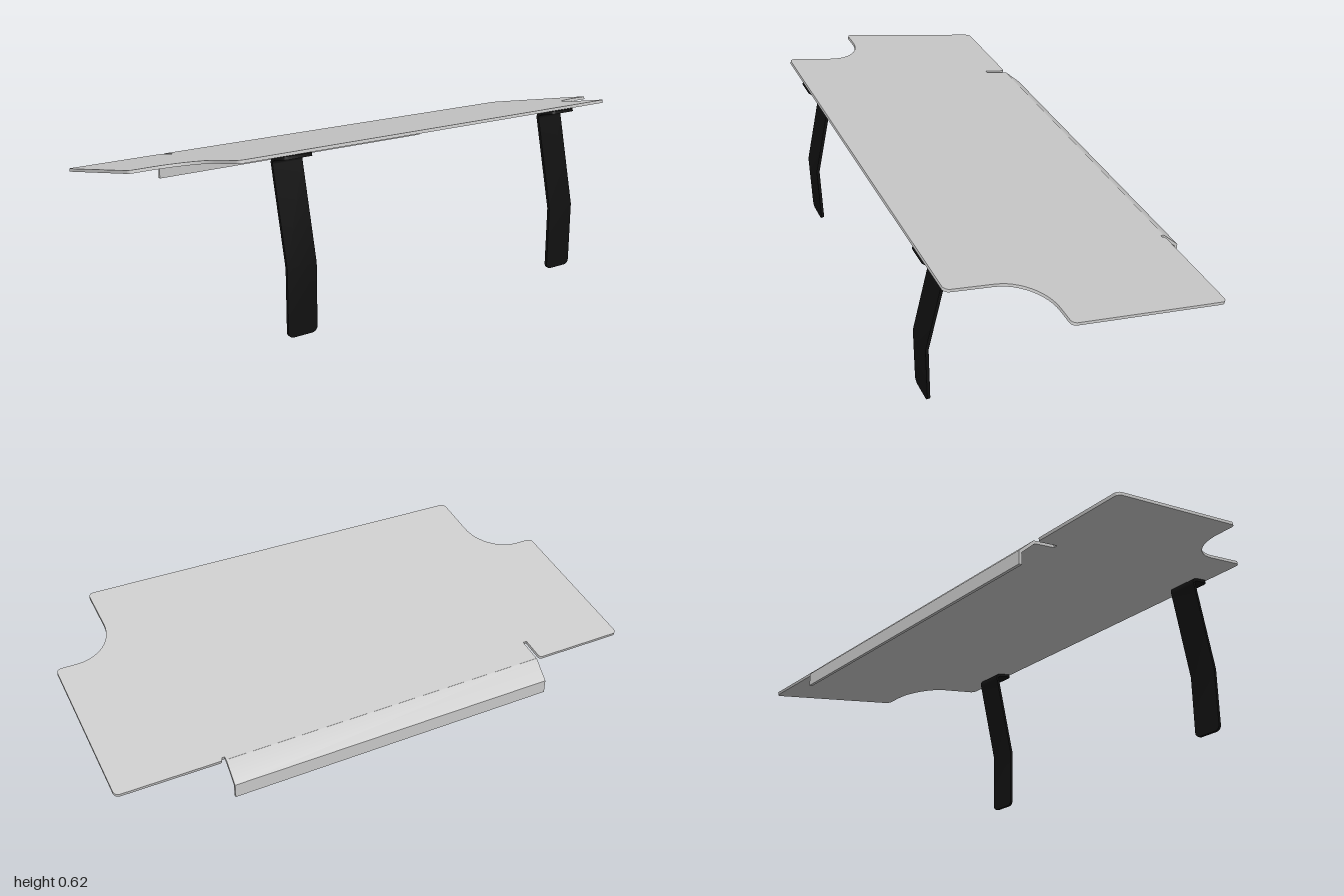
import * as THREE from 'three';
import { toCreasedNormals } from 'three/addons/utils/BufferGeometryUtils.js';

const T = 0.011;      // sheet thickness
const SLOPE = 0.2215; // rise of the plate towards the front
const topY = z => 0.622 + SLOPE * (z - 0.475);

// Closed outline from [x, y, cornerRadius] points, with rounded corners
function roundedShape(pts) {
  const shape = new THREE.Shape();
  pts.forEach(([x, y, r], i) => {
    const p = new THREE.Vector2(x, y);
    const near = (j, d) => {
      const q = pts[(j + pts.length) % pts.length];
      return new THREE.Vector2(q[0], q[1]).sub(p).normalize().multiplyScalar(d).add(p);
    };
    const a = near(i - 1, r), b = near(i + 1, r);
    const c1 = near(i - 1, r * 0.45), c2 = near(i + 1, r * 0.45);
    if (i === 0) shape.moveTo(a.x, a.y); else shape.lineTo(a.x, a.y);
    if (r > 0) shape.bezierCurveTo(c1.x, c1.y, c2.x, c2.y, b.x, b.y);
  });
  shape.closePath();
  return shape;
}

// Bent sheet strip: follows a [z, y] path, spans x0..x1, end corners rounded by r
function bentStrip(path, x0, x1, r = 0) {
  const pts = path.map(p => new THREE.Vector2(p[0], p[1]));
  const stations = [];
  const n = pts.length;
  const dir = i => pts[i + 1].clone().sub(pts[i]).normalize();
  const steps = r > 0 ? 6 : 0;
  const inset = d => r - Math.sqrt(Math.max(0, r * r - (r - d) ** 2));
  pts.forEach((p, i) => {
    const d0 = dir(Math.max(0, i - 1)), d1 = dir(Math.min(n - 2, i));
    const t = d0.clone().add(d1).normalize();
    const half = T / 2 / t.dot(d0);
    const at = (pos, ins) => stations.push({ pos, n: new THREE.Vector2(-t.y, t.x).multiplyScalar(half), ins });
    const ease = k => r * (1 - Math.cos(k / steps * Math.PI / 2));
    if (i === n - 1) for (let k = steps; k > 0; k--) at(p.clone().addScaledVector(t, -ease(k)), inset(ease(k)));
    at(p, i === 0 || i === n - 1 ? inset(0) : 0);
    if (i === 0) for (let k = 1; k <= steps; k++) at(p.clone().addScaledVector(t, ease(k)), inset(ease(k)));
  });
  const pos = [], idx = [];
  stations.forEach((s, i) => {
    const a = x0 + s.ins, b = x1 - s.ins;
    for (const [x, k] of [[a, -1], [b, -1], [b, 1], [a, 1]]) pos.push(x, s.pos.y + k * s.n.y, s.pos.x + k * s.n.x);
    if (i === 0) return;
    for (let j = 0; j < 4; j++) {
      const p = (i - 1) * 4 + j, q = (i - 1) * 4 + (j + 1) % 4;
      idx.push(p, q, q + 4, p, q + 4, p + 4);
    }
  });
  const e = (stations.length - 1) * 4;
  idx.push(0, 2, 1, 0, 3, 2, e, e + 1, e + 2, e, e + 2, e + 3);
  const g = new THREE.BufferGeometry();
  g.setAttribute('position', new THREE.Float32BufferAttribute(pos, 3));
  g.setIndex(idx);
  return toCreasedNormals(g, 0.5);
}

export function createModel() {
  const model = new THREE.Group();
  const grey = new THREE.MeshStandardMaterial({ color: 0xcccccc });
  const black = new THREE.MeshStandardMaterial({ color: 0x111111 });
  const add = (name, geometry, material) => {
    const mesh = new THREE.Mesh(geometry, material);
    mesh.name = name;
    model.add(mesh);
  };

  // Sloping plate with scooped front corners and relief slots beside the flange
  const outline = roundedShape([
    [-0.775, -0.475, 0.02], [0.775, -0.475, 0.02], [0.775, -0.157, 0.15], [1, -0.157, 0.018],
    [1, 0.417, 0.018], [0.63, 0.417, 0.012], [0.63, 0.405, 0], [0.62, 0.405, 0], [0.62, 0.417, 0],
    [-0.625, 0.417, 0], [-0.625, 0.33, 0], [-0.64, 0.33, 0], [-0.64, 0.417, 0.012],
    [-1, 0.417, 0.018], [-1, -0.157, 0.018], [-0.775, -0.157, 0.15],
  ]);
  const plate = new THREE.ExtrudeGeometry(outline, { depth: T, bevelEnabled: false, curveSegments: 12 });
  const p = plate.attributes.position, len = Math.hypot(1, SLOPE);
  for (let i = 0; i < p.count; i++) {
    const z = -p.getY(i), w = (p.getZ(i) - T) / len;
    p.setXYZ(i, p.getX(i), topY(z) + w, z - w * SLOPE);
  }
  add('plate', toCreasedNormals(plate, 0.5), grey);

  // Flange folded down at the back
  add('rearFlange', bentStrip([[-0.412, 0.4195], [-0.417, 0.418], [-0.476, 0.361], [-0.476, 0.313]], -0.625, 0.62), grey);

  // Bent strap legs, with a tab under the plate's front edge
  const bend = new THREE.QuadraticBezierCurve(
    new THREE.Vector2(0.413, 0.589), new THREE.Vector2(0.393, 0.584), new THREE.Vector2(0.398, 0.568));
  const legPath = [[0.477, 0.604], ...bend.getPoints(8).map(v => [v.x, v.y]), [0.477, 0.24], [0.477, 0]];
  add('leftLeg', bentStrip(legPath, 0.51, 0.62, 0.02), black);
  add('rightLeg', bentStrip(legPath, -0.62, -0.51, 0.02), black);

  return model;
}
